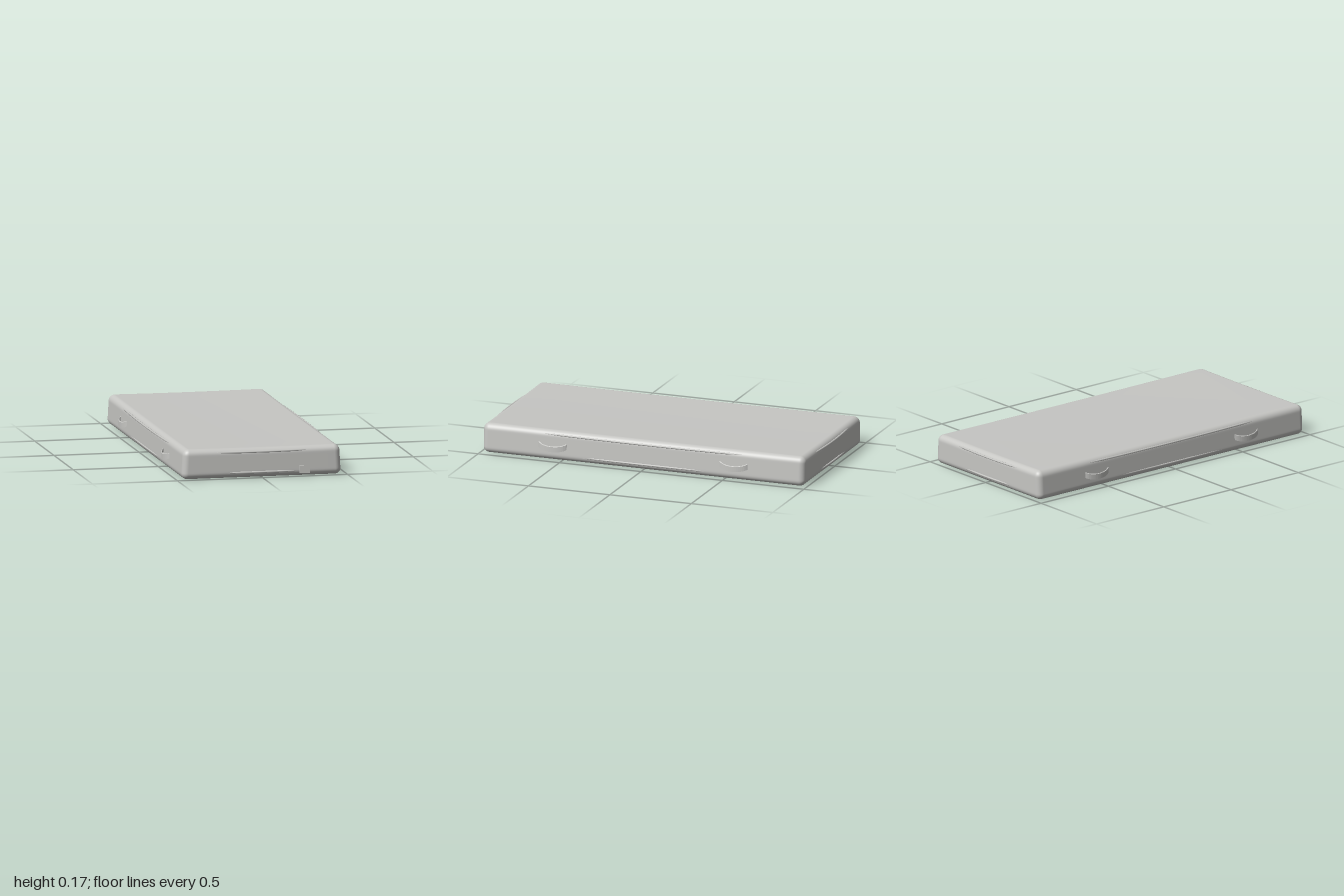
import * as THREE from 'three';
import { mergeVertices } from 'three/addons/utils/BufferGeometryUtils.js';

const fabric = new THREE.MeshStandardMaterial({ color: 0xc6c6c3 });
fabric.name = 'light grey fabric';

const HALF = [0.465, 0.0865, 0.988], MID_Y = 0.09, RADIUS = 0.036;

// Rounded pad with a slightly tapered side wall and a shallow dip on top
function padGeometry() {
  const n = 24, edge = 6;
  const geometry = new THREE.BoxGeometry(2, 2, 2, n, n, n);
  geometry.deleteAttribute('normal');
  geometry.deleteAttribute('uv');
  const pos = geometry.attributes.position;
  // the outer rows of the grid are packed into the rounded edge
  const remap = (u, h) => {
    const fromEnd = (1 - Math.abs(u)) * n / 2;
    const inner = h - RADIUS;
    const d = fromEnd < edge ? h - RADIUS * fromEnd / edge
      : inner * (n / 2 - fromEnd) / (n / 2 - edge);
    return Math.sign(u) * d;
  };
  const p = new THREE.Vector3(), core = new THREE.Vector3();
  const limit = new THREE.Vector3(...HALF).subScalar(RADIUS);
  for (let i = 0; i < pos.count; i++) {
    p.set(remap(pos.getX(i), HALF[0]), remap(pos.getY(i), HALF[1]), remap(pos.getZ(i), HALF[2]));
    core.copy(p).clamp(limit.clone().negate(), limit);
    p.sub(core).setLength(RADIUS).add(core);
    const fx = p.x / HALF[0], fz = p.z / HALF[2];
    p.x *= 1 - 0.12 * p.y;
    if (p.y > 0) p.y += 0.005 * (p.y / HALF[1]) * (fx * fx * 0.6 + fz * fz * 0.4 - 0.7);
    pos.setXYZ(i, p.x, p.y + MID_Y, p.z);
  }
  const merged = mergeVertices(geometry);
  merged.computeVertexNormals();
  return merged;
}

// Carrying strap: a thin crescent band that droops away from the wall
function strapGeometry() {
  const outer = new THREE.Shape();
  outer.moveTo(-0.095, 0.455);
  outer.bezierCurveTo(-0.07, 0.499, 0.07, 0.499, 0.095, 0.455);
  outer.lineTo(0.088, 0.455);
  outer.bezierCurveTo(0.065, 0.494, -0.065, 0.494, -0.088, 0.455);
  const geometry = new THREE.ExtrudeGeometry(outer, { depth: 0.031, bevelEnabled: false, curveSegments: 20 });
  const pos = geometry.attributes.position;
  for (let i = 0; i < pos.count; i++) {
    const along = pos.getX(i), out = pos.getY(i), up = pos.getZ(i);
    pos.setXYZ(i, out, 0.076 + up - (out - 0.462) * 0.75, along);
  }
  // the axis swap is a rotation, so the faces keep their order
  geometry.computeVertexNormals();
  return geometry;
}

export function createModel() {
  const model = new THREE.Group();
  model.name = 'mattress';
  const add = (name, geometry) => {
    const mesh = new THREE.Mesh(geometry, fabric);
    mesh.name = name;
    model.add(mesh);
    return mesh;
  };

  add('mattressPad', padGeometry());

  // Piping cords that bulge out of the walls in the middle of each side
  const cord = (name, out, half, y, angle) => {
    const curve = new THREE.QuadraticBezierCurve3(
      new THREE.Vector3(-half, y, out - 0.013),
      new THREE.Vector3(0, y, out + 0.013),
      new THREE.Vector3(half, y, out - 0.013));
    add(name, new THREE.TubeGeometry(curve, 32, 0.006, 8)).rotation.y = angle;
  };
  for (const s of [0, 1]) {
    const end = s ? 'back' : 'front', side = s ? 'right' : 'left';
    cord(end + 'UpperPiping', 0.991, 0.27, 0.154, s * Math.PI);
    cord(end + 'LowerPiping', 0.99, 0.25, 0.035, s * Math.PI);
    const turn = Math.PI / 2 + s * Math.PI;
    cord(side + 'UpperPiping', 0.465, 0.62, 0.154, turn);
    cord(side + 'LowerPiping', 0.467, 0.6, 0.035, turn);

    // Two straps on each long side
    for (const z of [0.555, -0.555]) {
      const strap = add(side + (z > 0 ? 'Front' : 'Back') + 'Strap', strapGeometry());
      strap.position.z = z;
      if (s) {
        strap.rotation.y = Math.PI;
      }
    }
  }

  // Small sewn label on the front
  add('label', new THREE.BoxGeometry(0.06, 0.045, 0.008)).position.set(0.25, 0.043, 0.992);
  return model;
}
